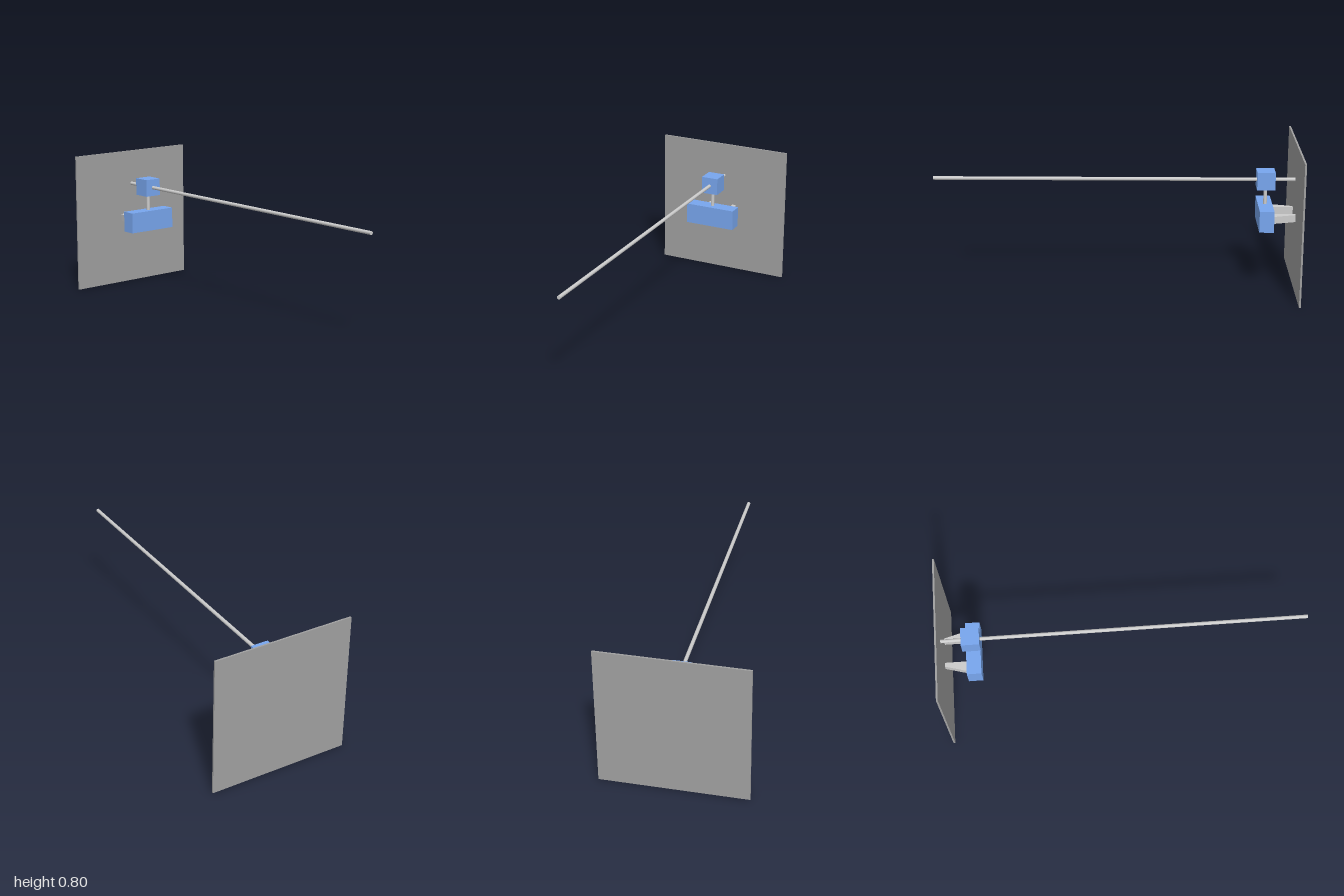
import * as THREE from 'three';

const grey = new THREE.MeshStandardMaterial({ color: 0xcccccc });
const darkGrey = new THREE.MeshStandardMaterial({ color: 0xa0a0a0 });
const blue = new THREE.MeshStandardMaterial({ color: 0x78a6ee });

export function createModel() {
  const model = new THREE.Group();
  model.name = 'wallMountedRod';

  const add = (name, geometry, material, x, y, z) => {
    const mesh = new THREE.Mesh(geometry, material);
    mesh.name = name;
    mesh.position.set(x, y, z);
    model.add(mesh);
    return mesh;
  };

  const rodY = 0.597, baseY = 0.398, mountZ = -0.828;

  // Upright back plate
  add('backPlate', new THREE.BoxGeometry(0.796, 0.796, 0.01), darkGrey, 0, 0.398, -0.995);

  // Long horizontal rod running through the clamp block
  add('rod', new THREE.CylinderGeometry(0.01, 0.01, 1.995, 32), grey, 0, rodY, 0.0025).rotation.x = Math.PI / 2;

  // Clamp block, post and base block
  add('clampBlock', new THREE.BoxGeometry(0.0995, 0.0995, 0.0995), blue, 0, rodY, mountZ);
  add('post', new THREE.CylinderGeometry(0.01, 0.01, rodY - baseY, 32), grey, 0, (rodY + baseY) / 2, mountZ);
  add('baseBlock', new THREE.BoxGeometry(0.2985, 0.119, 0.08), blue, 0, baseY, mountZ);

  // Tapered brackets from the plate to the base block, outlined in plan
  const height = 0.04;
  for (const side of [-1, 1]) {
    const plan = new THREE.Shape([
      [0.06, 0.99], [0.082, 0.99], [0.116, 0.868], [0.06, 0.868],
    ].map(([x, z]) => new THREE.Vector2(side * x, z)));
    const bracket = new THREE.ExtrudeGeometry(plan, { depth: height, bevelEnabled: false });
    bracket.rotateX(-Math.PI / 2);
    add(side > 0 ? 'leftBracket' : 'rightBracket', bracket, grey, 0, baseY - height / 2, 0);
  }

  return model;
}
